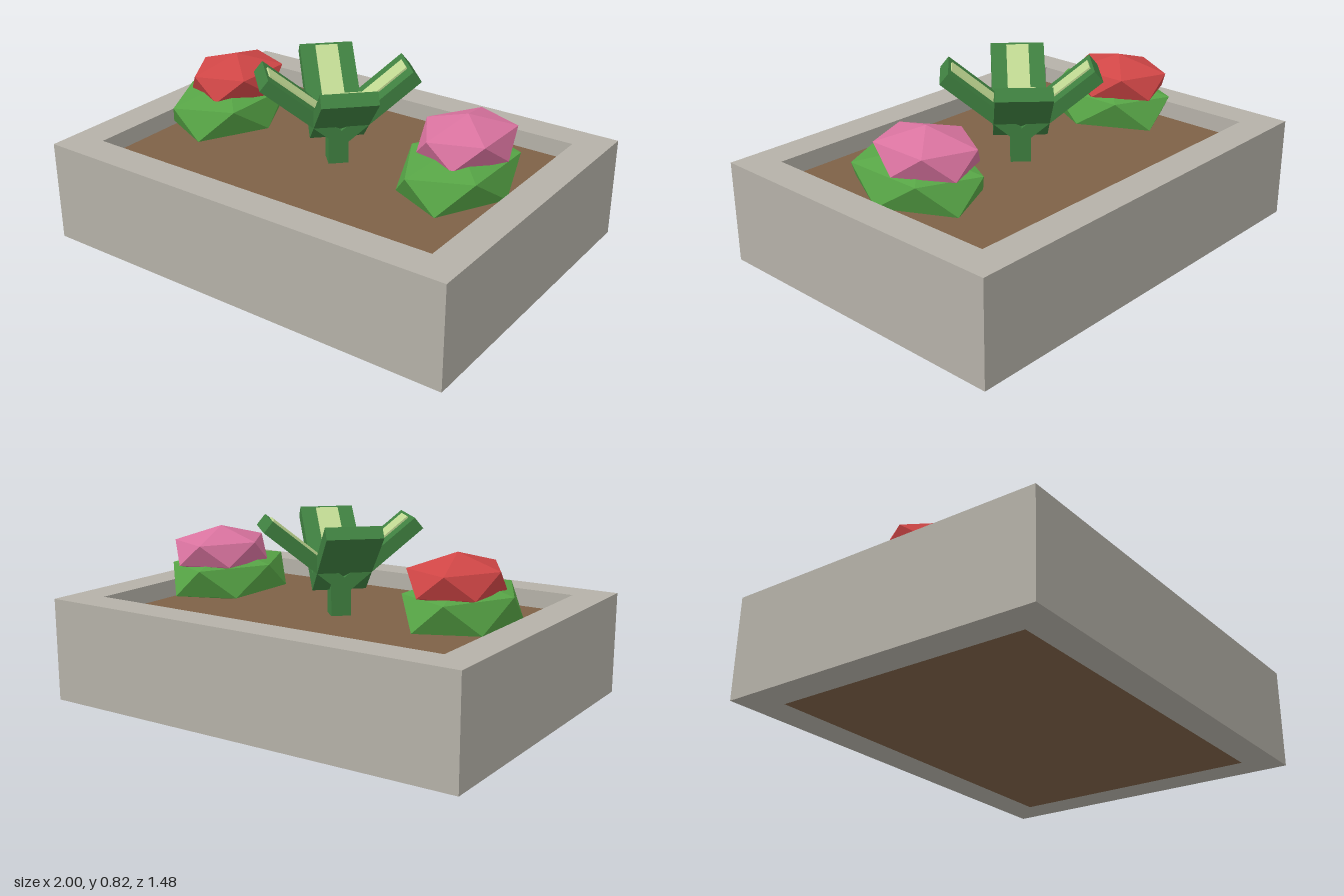
import * as THREE from 'three';

const mat = (name, color) => {
  const m = new THREE.MeshStandardMaterial({ color });
  m.name = name;
  return m;
};

// Faceted blob: top point, two staggered rings of five, bottom point.
// ys = heights of [top, upper ring, lower ring, bottom]
function blob(rx, rz, ys) {
  const ring = (y, offset) => Array.from({ length: 5 }, (_, i) => {
    const a = Math.PI + (i * 72 + offset) * Math.PI / 180;
    return [rx * Math.cos(a), y, rz * Math.sin(a)];
  });
  const top = [0, ys[0], 0], bottom = [0, ys[3], 0];
  const up = ring(ys[1], 0), low = ring(ys[2], 36);
  const points = [];
  for (let i = 0; i < 5; i++) {
    const j = (i + 1) % 5;
    points.push(
      top, up[j], up[i],
      up[i], up[j], low[i],
      up[j], low[j], low[i],
      bottom, low[i], low[j]);
  }
  const geo = new THREE.BufferGeometry();
  geo.setAttribute('position', new THREE.Float32BufferAttribute(points.flat(), 3));
  geo.computeVertexNormals();
  return geo;
}

export function createModel() {
  const root = new THREE.Group();
  root.name = 'planter';
  const stone = mat('stone', 0xb5b1a8);
  const soilBrown = mat('soil brown', 0x7e6147);
  const bushGreen = mat('bush green', 0x57a546);
  const red = mat('red', 0xd04646);
  const pink = mat('pink', 0xd9739f);
  const leafGreen = mat('leaf green', 0x3f8040);
  const paleGreen = mat('pale green', 0xc0d892);

  const add = (parent, name, geo, material, x = 0, y = 0, z = 0) => {
    const mesh = new THREE.Mesh(geo, material);
    mesh.name = name;
    mesh.position.set(x, y, z);
    parent.add(mesh);
    return mesh;
  };

  // Stone frame with a rectangular opening
  const rect = (C, w, d) => new C([[-w, -d], [w, -d], [w, d], [-w, d]]
    .map(([x, y]) => new THREE.Vector2(x, y)));
  const outline = rect(THREE.Shape, 1, 0.74);
  outline.holes.push(rect(THREE.Path, 0.85, 0.59));
  const frameGeo = new THREE.ExtrudeGeometry(outline, { depth: 0.46, bevelEnabled: false });
  frameGeo.rotateX(-Math.PI / 2);
  add(root, 'frame', frameGeo, stone);
  add(root, 'soil', new THREE.BoxGeometry(1.7, 0.38, 1.18), soilBrown, 0, 0.19, 0);

  // Flowering bushes on either side
  const bushGeo = blob(0.228, 0.32, [0.617, 0.558, 0.43, 0.37]);
  const flowerGeo = blob(0.195, 0.237, [0.73, 0.668, 0.568, 0.51]);
  for (const [side, x, color] of [['right', -0.615, red], ['left', 0.615, pink]]) {
    add(root, side + 'Bush', bushGeo, bushGreen, x, 0, 0);
    add(root, side + 'Flower', flowerGeo, color, x, 0, -0.06);
  }

  // Central plant: square stem and four tilted leaves on the diagonals
  const plant = new THREE.Group();
  plant.name = 'leafyPlant';
  root.add(plant);
  add(plant, 'stem', new THREE.BoxGeometry(0.088, 0.27, 0.088), leafGreen, 0, 0.505, 0)
    .rotation.y = Math.PI / 4;
  const leafGeo = new THREE.BoxGeometry(0.445, 0.06, 0.24);
  const inlayGeo = new THREE.BoxGeometry(0.305, 0.008, 0.1);
  for (let i = 0; i < 4; i++) {
    const leaf = new THREE.Group();
    leaf.name = 'leaf' + (i + 1);
    leaf.position.y = 0.49;
    leaf.rotation.set(0, Math.PI / 4 + i * Math.PI / 2, THREE.MathUtils.degToRad(39), 'YXZ');
    add(leaf, 'leafBlade', leafGeo, leafGreen, 0.2225, 0.03, 0);
    add(leaf, 'leafInlay', inlayGeo, paleGreen, 0.2785, 0.064, 0);
    plant.add(leaf);
  }
  return root;
}
